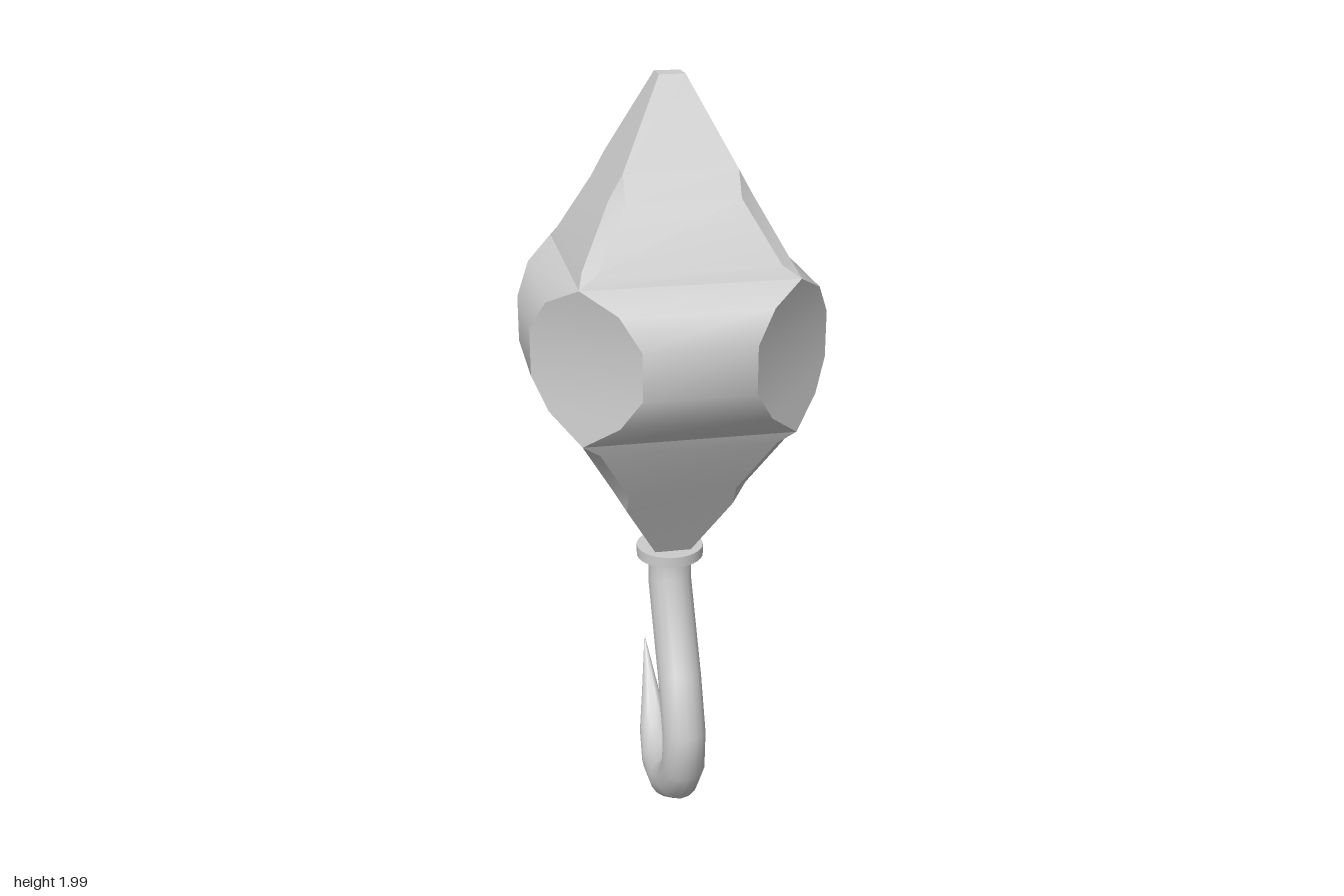
import * as THREE from 'three';
import { toCreasedNormals } from 'three/addons/utils/BufferGeometryUtils.js';

const CENTRE_Z = 0.013;

// Skin a list of equally sized rings of Vector3, optionally capping the ends
function loft(rings, capStart, capEnd, crease) {
  const n = rings[0].length;
  const pos = rings.flat().flatMap((p) => p.toArray());
  const index = [];
  for (let i = 0; i < rings.length - 1; i++) {
    for (let j = 0; j < n; j++) {
      const k = (j + 1) % n;
      const a = i * n + j, b = i * n + k, c = b + n, d = a + n;
      index.push(a, b, c, a, c, d);
    }
  }
  const last = (rings.length - 1) * n;
  for (let j = 1; j < n - 1; j++) {
    if (capStart) index.push(0, j + 1, j);
    if (capEnd) index.push(last, last + j, last + j + 1);
  }
  const geo = new THREE.BufferGeometry();
  geo.setAttribute('position', new THREE.Float32BufferAttribute(pos, 3));
  geo.setIndex(index);
  return toCreasedNormals(geo, crease);
}

// Square section of half-width a whose corners are cut back to c
function cutSquare([y, a, c]) {
  return [[-c, a], [c, a], [a, c], [a, -c], [c, -a], [-c, -a], [-a, -c], [-a, c]]
    .map(([x, z]) => new THREE.Vector3(x, y, z + CENTRE_Z));
}

// Round tube in the x = 0 plane through stations [z, y, radius]
function taperedTube(stations, sides) {
  const rings = stations.map(([z, y, r], i) => {
    const p = stations[Math.max(i - 1, 0)];
    const q = stations[Math.min(i + 1, stations.length - 1)];
    const len = Math.hypot(q[0] - p[0], q[1] - p[1]);
    const tz = (q[0] - p[0]) / len, ty = (q[1] - p[1]) / len;
    return Array.from({ length: sides }, (_, j) => {
      const t = (j / sides) * Math.PI * 2;
      const s = r * Math.sin(t);
      return new THREE.Vector3(r * Math.cos(t), y + s * tz, z - s * ty);
    });
  });
  return loft(rings, true, false, 1.0);
}

export function createModel() {
  const model = new THREE.Group();
  const material = new THREE.MeshStandardMaterial({ color: 0xcccccc });
  const add = (name, geometry) => {
    const mesh = new THREE.Mesh(geometry, material);
    mesh.name = name;
    model.add(mesh);
    return mesh;
  };

  // Faceted weight: three bands, listed as [height, half-width, corner cut]
  const lower = [
    [0.8, 0.045, 0.045], [0.965, 0.134, 0.134], [1.02, 0.165, 0.134],
    [1.165, 0.243, 0.213], [1.195, 0.256, 0.256],
  ];
  const middle = [
    [1.195, 0.256, 0.256], [1.26, 0.323, 0.178], [1.335, 0.357, 0.132],
    [1.45, 0.357, 0.132], [1.525, 0.323, 0.178], [1.57, 0.256, 0.256],
  ];
  const upper = [
    [1.57, 0.256, 0.256], [1.6, 0.243, 0.213], [1.74, 0.168, 0.134],
    [1.8, 0.134, 0.134], [2, 0.031, 0.031],
  ];
  add('lowerWeight', loft(lower.map(cutSquare), true, false, 0.5));
  add('middleWeight', loft(middle.map(cutSquare), false, false, 0.6));
  add('upperWeight', loft(upper.map(cutSquare), false, true, 0.5));

  // Collar between weight and hook
  const collar = add('collar', new THREE.CylinderGeometry(0.086, 0.086, 0.028, 32));
  collar.position.set(0, 0.789, CENTRE_Z + 0.002);

  // Hook: shank, bend and pointed tip
  const hook = [
    [0.016, 0.79, 0.057], [0.016, 0.7, 0.057], [0.148, 0.479, 0.057],
    [0.206, 0.347, 0.057], [0.198, 0.249, 0.057], [0.127, 0.153, 0.057],
    [0.016, 0.08, 0.057], [-0.108, 0.061, 0.056], [-0.209, 0.095, 0.044],
    [-0.275, 0.185, 0.025], [-0.364, 0.315, 0.001],
  ];
  add('hook', taperedTube(hook, 16));

  return model;
}
